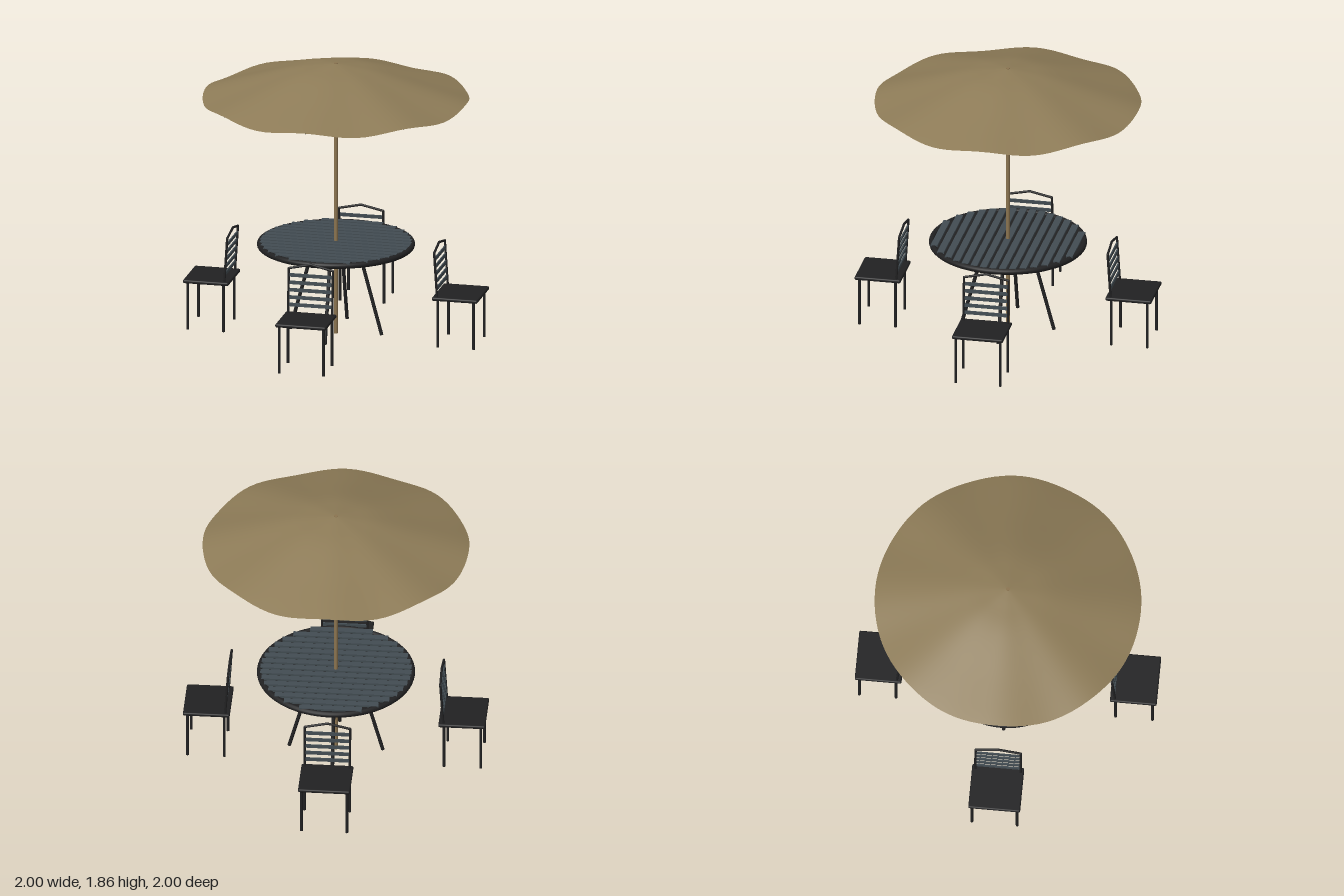
import * as THREE from 'three';
import { mergeVertices } from 'three/addons/utils/BufferGeometryUtils.js';
import { RoundedBoxGeometry } from 'three/addons/geometries/RoundedBoxGeometry.js';

const material = (name, color, side = THREE.FrontSide) => {
  const m = new THREE.MeshStandardMaterial({ color, side });
  m.name = name;
  return m;
};

const v = (x, y, z) => new THREE.Vector3(x, y, z);

function add(parent, name, geometry, mat) {
  const mesh = new THREE.Mesh(geometry, mat);
  mesh.name = name;
  parent.add(mesh);
  return mesh;
}

// Straight round bar between two points
function bar(parent, name, a, b, radius, mat, sides = 12) {
  const mesh = add(parent, name, new THREE.CylinderGeometry(radius, radius, a.distanceTo(b), sides), mat);
  mesh.position.copy(a).add(b).multiplyScalar(0.5);
  mesh.quaternion.setFromUnitVectors(v(0, 1, 0), b.clone().sub(a).normalize());
  return mesh;
}

// Canopy outline from rim to peak, and the ripple that lifts the rim at each rib
const RIM = 0.88, RIBS = 8;
const outline = new THREE.SplineCurve([
  [RIM, 1.622], [0.8, 1.649], [0.6, 1.713], [0.3, 1.808], [0.12, 1.843], [0, 1.86],
].map(([r, y]) => new THREE.Vector2(r, y)));
const ripple = (r, angle) => 0.013 * Math.cos(RIBS * angle) * (r / RIM) ** 2;

function createParasol(mats) {
  const parasol = new THREE.Group();
  parasol.name = 'parasol';
  bar(parasol, 'pole', v(0, 0, 0), v(0, 1.862, 0), 0.013, mats.wood, 16);

  // Rippled canopy
  let cloth = new THREE.LatheGeometry(outline.getPoints(24), 96);
  const p = cloth.attributes.position;
  for (let i = 0; i < p.count; i++) {
    const r = Math.hypot(p.getX(i), p.getZ(i));
    p.setY(i, p.getY(i) + ripple(r, Math.atan2(p.getZ(i), p.getX(i))));
  }
  cloth.deleteAttribute('uv');
  cloth.deleteAttribute('normal');
  cloth = mergeVertices(cloth, 1e-5);
  cloth.computeVertexNormals();
  add(parasol, 'canopy', cloth, mats.cloth);

  // Ribs just beneath the cloth
  const ribPath = outline.getPoints(12).map((q) => v(q.x * 0.985, q.y + ripple(q.x, 0) - 0.008, 0));
  const ribGeometry = new THREE.TubeGeometry(new THREE.CatmullRomCurve3(ribPath), 24, 0.005, 6);
  for (let i = 0; i < RIBS; i++) {
    add(parasol, 'canopyRib', ribGeometry, mats.metal).rotation.y = (i / RIBS) * Math.PI * 2;
  }
  return parasol;
}

function createTable(mats) {
  const table = new THREE.Group();
  table.name = 'table';
  add(table, 'tableBase', new THREE.CylinderGeometry(0.5, 0.5, 0.026, 64), mats.metal).position.y = 0.612;
  const rim = add(table, 'tableRim', new THREE.TorusGeometry(0.502, 0.02, 12, 72), mats.metal);
  rim.rotation.x = Math.PI / 2;
  rim.position.y = 0.615;

  // Parallel slats trimmed to the round top
  const count = 15, pitch = 0.065;
  for (let i = 0; i < count; i++) {
    const z = (i - (count - 1) / 2) * pitch;
    const length = 2 * Math.sqrt(0.5 ** 2 - z ** 2);
    add(table, 'tableSlat', new THREE.BoxGeometry(length, 0.016, 0.045), mats.slat).position.set(0, 0.63, z);
  }

  // Splayed legs
  for (let i = 0; i < 4; i++) {
    const c = Math.round(Math.cos(i * Math.PI / 2)), s = Math.round(Math.sin(i * Math.PI / 2));
    bar(table, 'tableLeg', v(0.31 * c, 0.01, 0.31 * s), v(0.147 * c, 0.61, 0.147 * s), 0.012, mats.metal);
  }
  return table;
}

// Chair with its back next to the table and its seat reaching outward along +z
function createChair(mats) {
  const chair = new THREE.Group();
  chair.name = 'chair';
  add(chair, 'seat', new RoundedBoxGeometry(0.344, 0.024, 0.31, 3, 0.01), mats.metal).position.set(0, 0.333, 0.845);
  for (const x of [-0.15, 0.15]) {
    for (const z of [0.727, 0.97]) bar(chair, 'chairLeg', v(x, 0, z), v(x, 0.335, z), 0.0095, mats.metal);
  }

  // Leaning back frame with a peaked top rail
  const backZ = (y) => 0.722 - (y - 0.34) * 0.065;
  const at = (x, y) => v(x, y, backZ(y));
  const joints = [at(-0.15, 0.34), at(-0.15, 0.645), at(0, 0.678), at(0.15, 0.645), at(0.15, 0.34)];
  for (let i = 0; i < 4; i++) bar(chair, 'backFrame', joints[i], joints[i + 1], 0.008, mats.metal);
  for (const joint of joints.slice(1, 4)) {
    add(chair, 'frameJoint', new THREE.SphereGeometry(0.008, 12, 8), mats.metal).position.copy(joint);
  }

  // Back slats
  for (let i = 0; i < 5; i++) {
    const slat = add(chair, 'backSlat', new THREE.BoxGeometry(0.3, 0.023, 0.009), mats.slat);
    slat.position.copy(at(0, 0.4 + i * 0.05));
    slat.rotation.x = -0.065;
  }
  return chair;
}

export function createModel() {
  const mats = {
    cloth: material('canopy cloth', 0x8d7b57, THREE.DoubleSide),
    wood: material('pole wood', 0x8b7450),
    metal: material('black metal', 0x212122),
    slat: material('slate grey slats', 0x424c52),
  };
  const model = new THREE.Group();
  model.name = 'patioSet';
  model.add(createParasol(mats), createTable(mats));
  for (let i = 0; i < 4; i++) {
    const chair = createChair(mats);
    chair.rotation.y = i * Math.PI / 2;
    model.add(chair);
  }
  return model;
}
